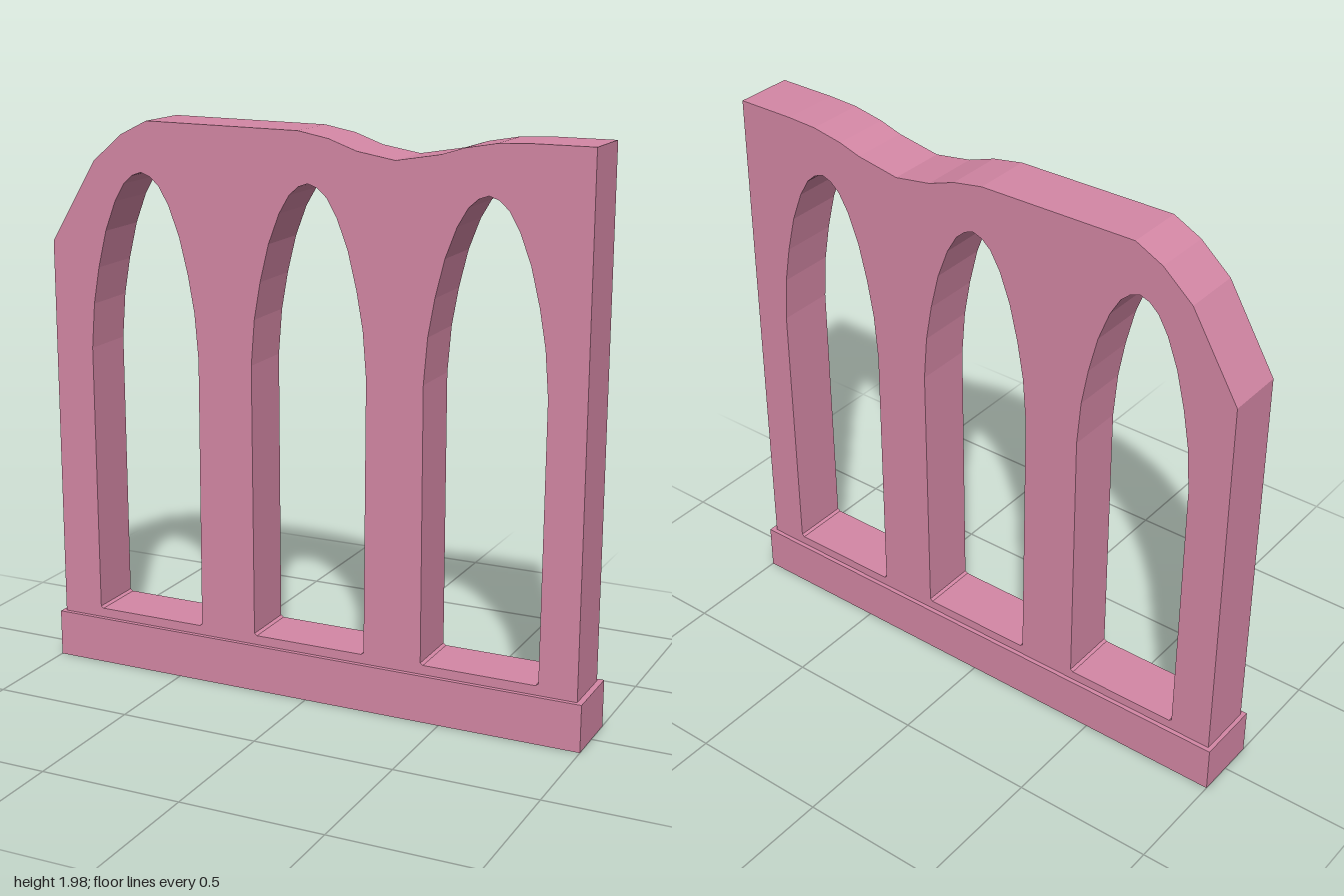
import * as THREE from 'three';

const material = new THREE.MeshStandardMaterial({ color: 0xd487a5 });

// Right half of a window arch: [offset from centre, height], spring to apex
const ARCH = [[0.213, 1.17], [0.2, 1.33], [0.177, 1.46], [0.145, 1.59],
  [0.105, 1.695], [0.068, 1.758], [0.034, 1.788], [0, 1.8]];

// Worn top edge of the wall, left to right
const TOP = [[-0.985, 1.54], [-0.81, 1.83], [-0.7, 1.925], [-0.6, 1.975],
  [-0.03, 1.97], [0.08, 1.95], [0.18, 1.915], [0.315, 1.893], [0.47, 1.92],
  [0.55, 1.945], [0.66, 1.965], [0.77, 1.97], [0.98, 1.97]];

const toPoints = (list) => list.map(([x, y]) => new THREE.Vector2(x, y));

// Tall arched opening with slightly eased lower corners
function windowOpening(cx) {
  const right = [[0.2, 0.2], [0.21, 0.207], ...ARCH];
  const left = right.slice(0, -1).reverse().map(([x, y]) => [-x, y]);
  return new THREE.Path(toPoints([...right, ...left].map(([x, y]) => [cx + x, y])).concat(new THREE.Vector2(cx + 0.2, 0.2)));
}

function addMesh(group, name, geometry) {
  const mesh = new THREE.Mesh(geometry, material);
  mesh.name = name;
  group.add(mesh);
  return mesh;
}

export function createModel() {
  const model = new THREE.Group();
  model.name = 'archedWall';

  // Wall slab pierced by three windows
  const outline = new THREE.Shape(toPoints([[-0.985, 0.16], ...TOP, [0.98, 0.16]]));
  for (const cx of [-0.625, 0.005, 0.635]) outline.holes.push(windowOpening(cx));
  const depth = 0.206;
  const wall = new THREE.ExtrudeGeometry(outline, { depth, bevelEnabled: false });
  wall.translate(0, 0, -depth / 2);
  addMesh(model, 'wall', wall);

  // Plinth, a little wider and deeper than the wall
  const plinth = addMesh(model, 'plinth', new THREE.BoxGeometry(2, 0.167, 0.238));
  plinth.position.y = 0.167 / 2;

  return model;
}
